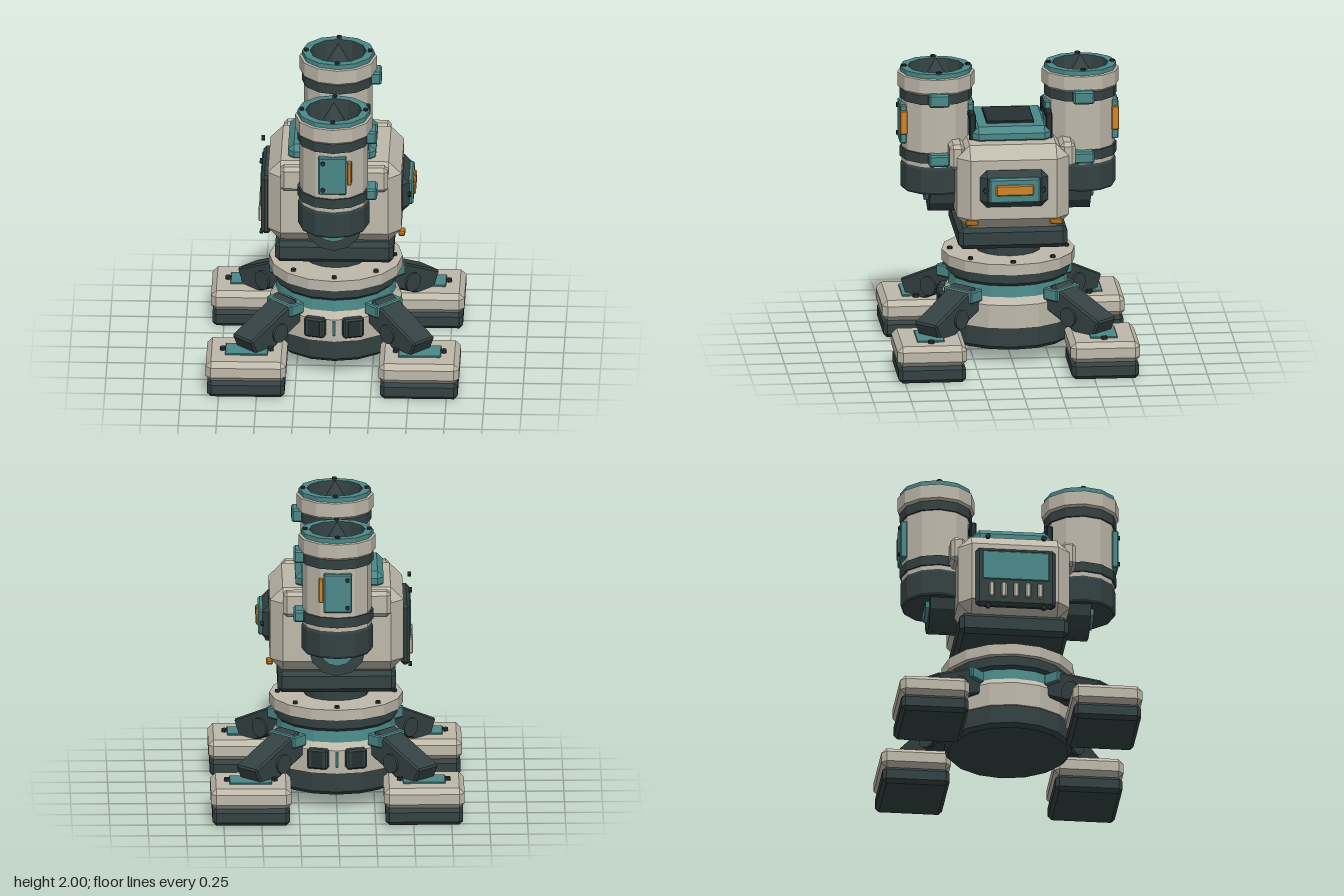
import * as THREE from 'three';
import { ConvexGeometry } from 'three/addons/geometries/ConvexGeometry.js';

const mat = (name, color, side = THREE.FrontSide) => {
  const m = new THREE.MeshStandardMaterial({ color, flatShading: true, side });
  m.name = name;
  return m;
};

export function createModel() {
  const light = mat('warm grey', 0xbfb9ab);
  const dark = mat('dark slate', 0x344142);
  const teal = mat('teal', 0x4b8888);
  const orange = mat('orange', 0xcf842b);
  const bolt = mat('bolt black', 0x263032);
  const root = new THREE.Group();

  const add = (parent, name, geo, material, x = 0, y = 0, z = 0) => {
    const m = new THREE.Mesh(geo, material);
    m.name = name;
    m.position.set(x, y, z);
    parent.add(m);
    return m;
  };
  // Box with all edges chamfered by c
  const chamfer = (w, h, d, c) => {
    const pts = [];
    for (const x of [-1, 1]) for (const y of [-1, 1]) for (const z of [-1, 1]) {
      const a = [w / 2, h / 2, d / 2];
      for (let k = 0; k < 3; k++) {
        const e = a.map((v, i) => (i === k ? v : v - c));
        pts.push(new THREE.Vector3(x * e[0], y * e[1], z * e[2]));
      }
    }
    return new ConvexGeometry(pts);
  };
  // Chamfered box given by its limits on each axis
  const block = (parent, name, material, [x0, x1], [y0, y1], [z0, z1], c = 0.008) =>
    add(parent, name, chamfer(x1 - x0, y1 - y0, z1 - z0, c), material,
      (x0 + x1) / 2, (y0 + y1) / 2, (z0 + z1) / 2);
  const lathe = (parent, name, material, pts, sides) =>
    add(parent, name, new THREE.LatheGeometry(pts.map(p => new THREE.Vector2(...p)), sides), material);
  const boltAt = (parent, x, y, z, axis = 'y', r = 0.018, h = 0.022) => {
    const b = add(parent, 'bolt', new THREE.CylinderGeometry(r, r, h, 6), bolt, x, y, z);
    if (axis === 'z') b.rotation.x = Math.PI / 2;
    if (axis === 'x') b.rotation.z = Math.PI / 2;
  };

  // Round pedestal
  const base = new THREE.Group();
  base.name = 'pedestal';
  root.add(base);
  lathe(base, 'pedestalFoot', dark, [[0, 0.1], [0.4, 0.1], [0.425, 0.125], [0.425, 0.25], [0, 0.25]], 16);
  lathe(base, 'pedestalDrum', light, [[0, 0.25], [0.435, 0.25], [0.435, 0.41], [0.39, 0.465], [0, 0.465]], 16);
  lathe(base, 'tealCollar', teal, [[0, 0.44], [0.4, 0.44], [0.385, 0.53], [0, 0.53]], 16);
  lathe(base, 'bearingRing', dark, [[0, 0.53], [0.385, 0.53], [0.405, 0.55], [0.405, 0.615], [0, 0.615]], 16);
  lathe(base, 'turntable', light, [[0, 0.615], [0.44, 0.615], [0.44, 0.69], [0, 0.69]], 16);
  lathe(base, 'neck', dark, [[0, 0.69], [0.215, 0.69], [0.215, 0.79], [0, 0.79]], 16);
  for (let i = 0; i < 8; i++) {
    const a = (i * Math.PI) / 4;
    boltAt(base, 0.385 * Math.sin(a), 0.695, 0.385 * Math.cos(a));
  }
  for (const s of [-1, 1]) {
    for (const x of [-0.125, 0.125]) {
      const port = add(base, 'pedestalPort', chamfer(0.14, 0.135, 0.06, 0.012), dark, x, 0.355, s * 0.42);
      port.rotation.y = s * Math.sign(x) * 0.28;
      add(port, 'portInset', new THREE.BoxGeometry(0.08, 0.11, 0.008), bolt, 0, 0, s * 0.03);
    }
    block(base, 'pedestalSlot', teal, [-0.01, 0.01], [0.3, 0.4], [s * 0.434 - 0.01, s * 0.434 + 0.01], 0.003);
  }

  // Four splayed legs and their feet
  for (const sx of [-1, 1]) for (const sz of [-1, 1]) {
    const leg = new THREE.Group();
    leg.name = 'leg';
    leg.rotation.y = Math.atan2(-sz, sx);
    root.add(leg);
    add(leg, 'legBeam', chamfer(0.45, 0.18, 0.19, 0.012), dark, 0.612, 0.358, 0).rotation.z = -0.436;
    add(leg, 'legHinge', new THREE.CylinderGeometry(0.065, 0.065, 0.22, 12), dark, 0.6, 0.34, 0).rotation.x = Math.PI / 2;
    block(leg, 'legBracket', teal, [0.4, 0.52], [0.43, 0.51], [-0.12, 0.12]);

    const foot = new THREE.Group();
    foot.name = 'foot';
    foot.position.set(sx * 0.57, 0, sz * 0.572);
    root.add(foot);
    block(foot, 'footSole', dark, [-0.255, 0.255], [0, 0.115], [-0.222, 0.222], 0.025);
    block(foot, 'footPad', light, [-0.265, 0.265], [0.112, 0.25], [-0.23, 0.23], 0.035);
    block(foot, 'footPlate', teal, [-0.14, 0.14], [0.24, 0.26], [-0.09, 0.09], 0.004);
    for (const x of [-0.157, 0.157]) boltAt(foot, x, 0.258, 0, 'y', 0.022, 0.024);
  }

  // Central housing
  const body = new THREE.Group();
  body.name = 'housing';
  root.add(body);
  block(body, 'housingTray', dark, [-0.39, 0.39], [0.785, 0.93], [-0.36, 0.36], 0.03);
  block(body, 'housingShell', light, [-0.44, 0.44], [0.92, 1.49], [-0.37, 0.37], 0.085);
  block(body, 'roofPlate', teal, [-0.31, 0.27], [1.46, 1.58], [-0.26, 0.255], 0.04);
  block(body, 'roofHatch', bolt, [-0.215, 0.15], [1.57, 1.595], [-0.16, 0.155], 0.005);
  for (const s of [-1, 1]) {
    block(body, 'shoulder', light, [-0.355, 0.355], [1.32, 1.49], [s * 0.365 - 0.05, s * 0.365 + 0.05], 0.025);
    const z = [s * 0.253 - 0.022, s * 0.253 + 0.022];
    block(body, 'handleBar', bolt, [-0.22, 0.22], [1.615, 1.66], z);
    for (const x of [-0.2, 0.2]) block(body, 'handlePost', bolt, [x - 0.02, x + 0.02], [1.44, 1.65], z);
  }

  // Lamp on the left side
  block(body, 'lampFrame', dark, [0.39, 0.49], [1.09, 1.34], [-0.225, 0.225], 0.045);
  block(body, 'lampBezel', teal, [0.47, 0.515], [1.13, 1.3], [-0.17, 0.17], 0.012);
  block(body, 'lampGlass', orange, [0.5, 0.53], [1.185, 1.257], [-0.125, 0.125]);
  for (const s of [-1, 1]) {
    boltAt(body, 0.49, 1.215, s * 0.19, 'x');
    block(body, 'markerLight', orange, [0.42, 0.465], [0.97, 1], [s * 0.278 - 0.043, s * 0.278 + 0.043]);
  }

  // Vented panel on the right side
  block(body, 'ventPanel', dark, [-0.485, -0.42], [0.945, 1.36], [-0.265, 0.265], 0.022);
  block(body, 'ventScreen', teal, [-0.492, -0.47], [1.13, 1.33], [-0.22, 0.22], 0.004);
  for (let i = -2; i <= 2; i++)
    block(body, 'ventBar', light, [-0.505, -0.475], [1, 1.105], [i * 0.08 - 0.018, i * 0.08 + 0.018]);
  for (const y of [0.935, 1.44]) for (const z of [-0.185, 0.185]) boltAt(body, -0.485, y, z, 'x');

  // Two upright launch tubes, mirrored front to back
  for (const s of [-1, 1]) {
    const tube = new THREE.Group();
    tube.name = s > 0 ? 'frontTube' : 'backTube';
    tube.position.z = s * 0.477;
    root.add(tube);
    lathe(tube, 'tubeBase', dark, [[0, 1.12], [0.225, 1.12], [0.235, 1.135], [0.235, 1.29], [0.225, 1.31], [0, 1.31]], 12);
    lathe(tube, 'tubeBarrel', light, [[0.227, 1.3], [0.227, 1.75]], 12);
    for (const y of [1.335, 1.735])
      lathe(tube, 'tubeBand', dark, [[0.22, y], [0.24, y], [0.24, y + 0.067], [0.22, y + 0.067]], 12);
    lathe(tube, 'muzzleCollar', light, [[0.235, 1.795], [0.254, 1.815], [0.254, 1.91], [0.235, 1.915]], 12);
    lathe(tube, 'muzzleRim', teal, [[0.238, 1.9], [0.238, 1.945], [0.185, 1.945]], 12);
    lathe(tube, 'muzzleBore', dark, [[0.188, 1.945], [0.155, 1.72]], 12);
    lathe(tube, 'boreFloor', light, [[0.16, 1.72], [0, 1.72]], 12);
    lathe(tube, 'boreSpike', dark, [[0.095, 1.72], [0.095, 1.84], [0, 2]], 12);
    for (let i = 0; i < 4; i++) {
      const a = (i * Math.PI) / 2;
      boltAt(tube, 0.211 * Math.sin(a), 1.947, 0.211 * Math.cos(a));
    }
    // Clamps on the left side
    for (const [y0, y1] of [[1.73, 1.82], [1.325, 1.405]])
      block(tube, 'bandClamp', teal, [0.2, 0.287], [y0, y1], [-0.07, 0.07], 0.012);
    // Access panels on the outer and inner faces
    for (const k of [s, -s]) {
      block(tube, 'accessPanel', teal, [-0.095, 0.092], [1.44, 1.705], [k * 0.222 - 0.023, k * 0.222 + 0.023]);
      for (const y of [1.475, 1.665]) boltAt(tube, -0.065, y, k * 0.247, 'z', 0.016, 0.018);
    }
    block(tube, 'statusStrip', orange, [0.094, 0.125], [1.51, 1.67], [s * 0.222 - 0.025, s * 0.222 + 0.025], 0.006);
    // Trunnion joint under the tube
    const joint = add(tube, 'trunnion', new THREE.CylinderGeometry(0.19, 0.19, 0.23, 12), dark, 0, 1.143, -s * 0.06);
    const cap = add(tube, 'trunnionCap', new THREE.CylinderGeometry(0.115, 0.115, 0.05, 12), teal, 0, 1.143, s * 0.055);
    joint.rotation.x = cap.rotation.x = Math.PI / 2;
  }
  return root;
}
